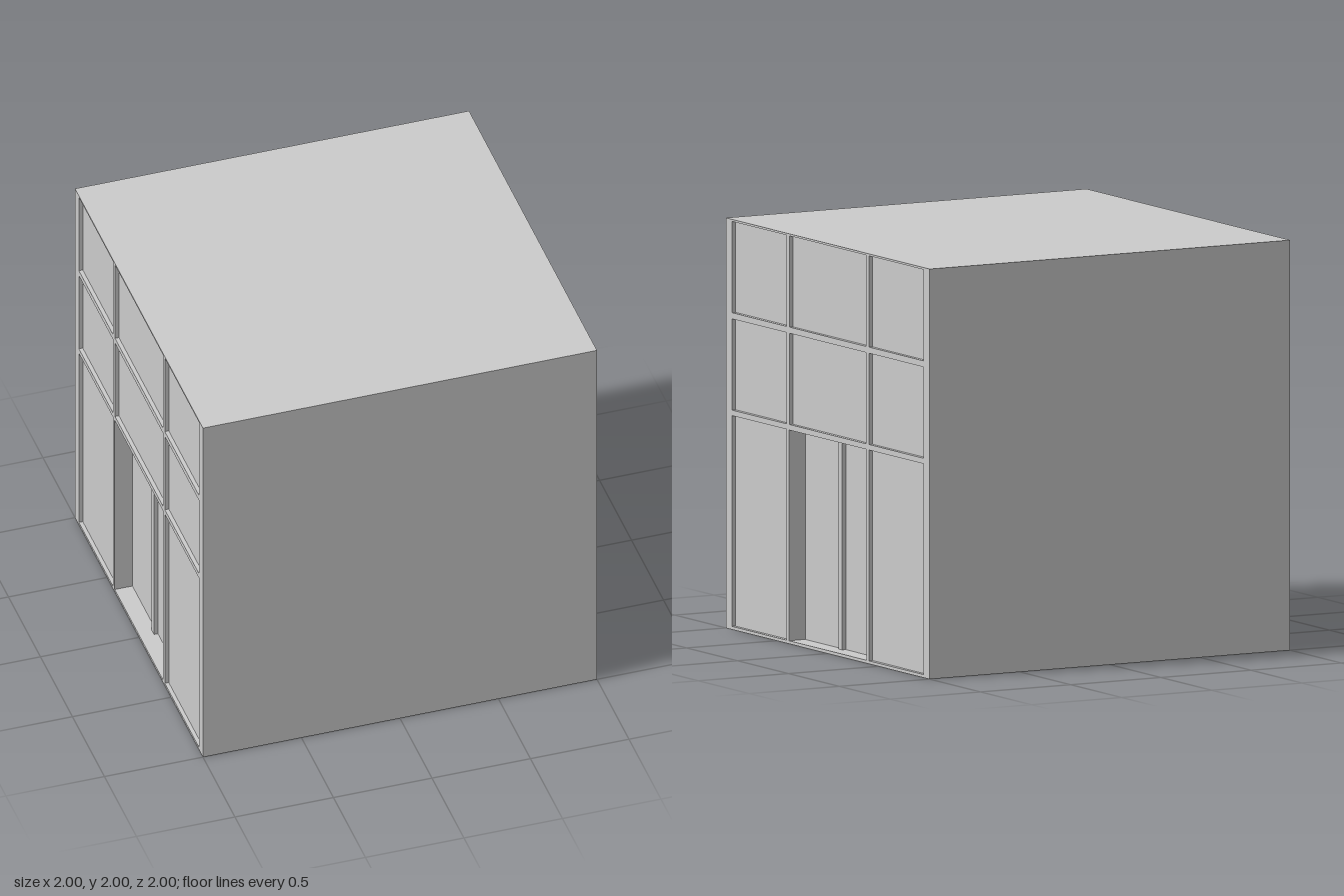
import * as THREE from 'three';

const grey = new THREE.MeshStandardMaterial({ color: 0xcccccc, flatShading: true });
const named = (name, geometry) => {
  const mesh = new THREE.Mesh(geometry, grey);
  mesh.name = name;
  return mesh;
};

// Box with some sides left out (0 +x, 1 -x, 2 +y, 3 -y, 4 +z, 5 -z), optionally turned inside out
function openBox(x0, x1, y0, y1, z0, z1, missing, inward = false) {
  const box = new THREE.BoxGeometry(x1 - x0, y1 - y0, z1 - z0);
  box.translate((x0 + x1) / 2, (y0 + y1) / 2, (z0 + z1) / 2);
  let index = Array.from(box.index.array).filter((_, i) => !missing.includes(Math.floor(i / 6)));
  if (inward) index = index.reverse();
  box.setIndex(index);
  const geometry = box.toNonIndexed();
  geometry.computeVertexNormals();
  return geometry;
}

const DEPTH = 0.02, DOOR_DEPTH = 0.09;
const rows = [[0.015, 1.043], [1.07, 1.515], [1.545, 1.99]];
const columns = [[-0.94, -0.404], [-0.375, 0.375], [0.404, 0.94]];

// One glazed facade, drawn facing +z on the plane z = 1
function createFacade() {
  const facade = new THREE.Group();
  const frame = new THREE.Shape([[-1, 0], [1, 0], [1, 2], [-1, 2]].map(p => new THREE.Vector2(...p)));
  rows.forEach(([y0, y1], r) => columns.forEach(([x0, x1], c) => {
    const isDoor = r === 0 && c === 1;
    if (isDoor) { x0 = -0.379; x1 = 0.379; }
    frame.holes.push(new THREE.Path([[x0, y0], [x0, y1], [x1, y1], [x1, y0]].map(p => new THREE.Vector2(...p))));
    // reveal and pane of each opening
    facade.add(named(isDoor ? 'doorRecess' : 'windowPanel',
      openBox(x0, x1, y0, y1, 1 - (isDoor ? DOOR_DEPTH : DEPTH), 1, [4], true)));
  }));
  facade.add(named('facadeFrame', new THREE.ShapeGeometry(frame).translate(0, 0, 1)));
  // post between the two door leaves
  facade.add(named('doorPost',
    openBox(-0.019, 0.019, rows[0][0], rows[0][1], 1 - DOOR_DEPTH, 1 - DOOR_DEPTH + DEPTH, [2, 3, 5])));
  return facade;
}

export function createModel() {
  const model = new THREE.Group();
  model.name = 'building';
  // roof, floor and the two blank walls
  model.add(named('walls', openBox(-1, 1, 0, 2, -1, 1, [0, 1])));
  // matching facades on the two sides
  for (const side of [1, -1]) {
    const facade = createFacade();
    facade.name = side > 0 ? 'leftFacade' : 'rightFacade';
    facade.rotation.y = side * Math.PI / 2;
    model.add(facade);
  }
  return model;
}
